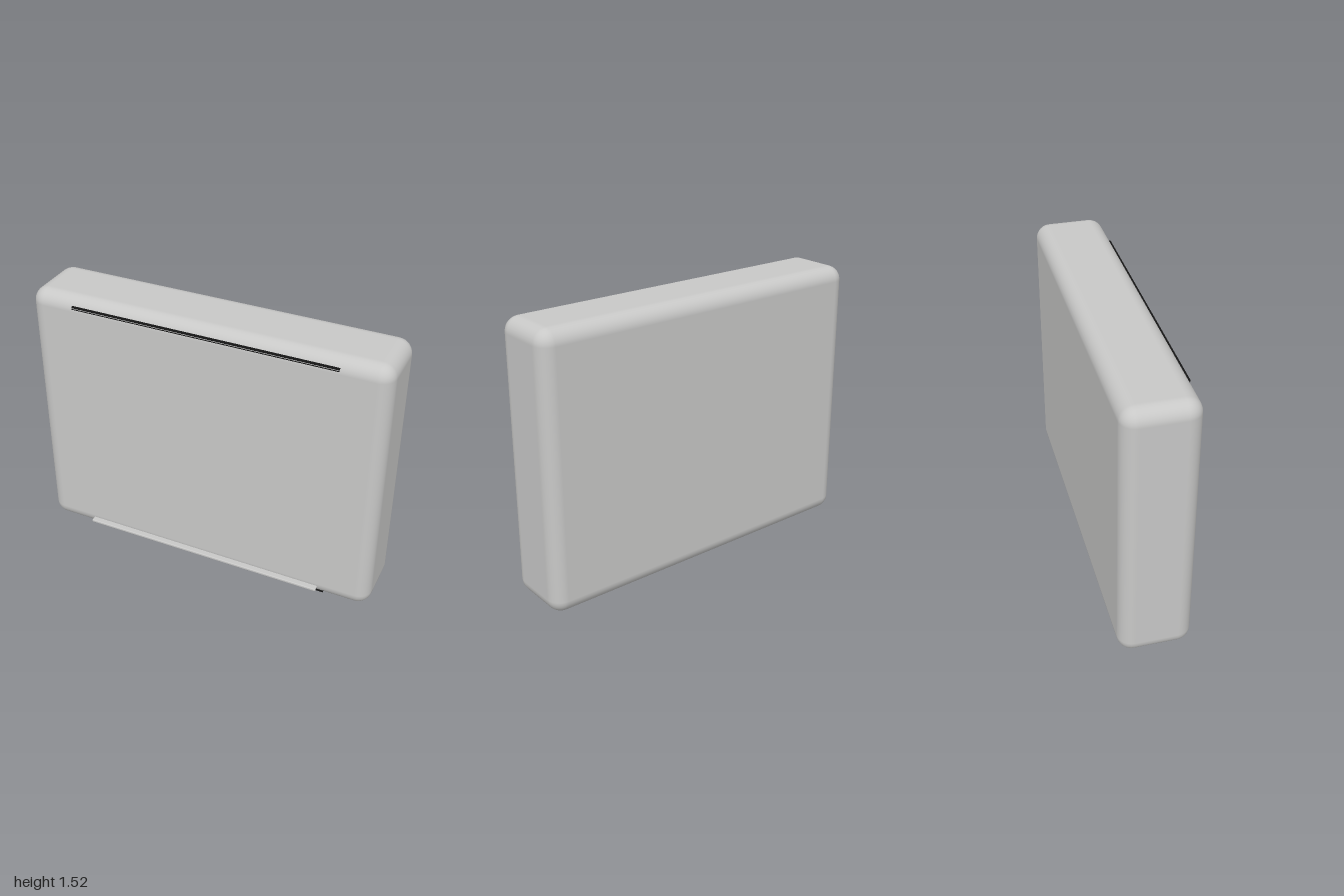
import * as THREE from 'three';
import { RoundedBoxGeometry } from 'three/addons/geometries/RoundedBoxGeometry.js';

export function createModel() {
  const model = new THREE.Group();
  model.name = 'roundedPanelCase';

  const shell = new THREE.MeshStandardMaterial({ color: 0xc8c8c7 });
  shell.name = 'light grey shell';
  const slot = new THREE.MeshStandardMaterial({ color: 0x161616 });
  slot.name = 'black slot';

  const add = (name, geometry, material, x, y, z) => {
    const mesh = new THREE.Mesh(geometry, material);
    mesh.name = name;
    mesh.position.set(x, y, z);
    model.add(mesh);
    return mesh;
  };

  // Soft-edged case
  add('case', new RoundedBoxGeometry(2, 1.522, 0.39, 4, 0.08), shell, 0, 0.764, -0.015);

  // Thin lip along the lower front edge
  add('frontLip', new RoundedBoxGeometry(1.42, 0.016, 0.04, 2, 0.005), shell, 0, 0.06, 0.19);

  // Narrow dark vents set into the upper and lower front roundings
  add('upperVent', new THREE.BoxGeometry(1.475, 0.009, 0.03), slot, 0, 1.475, 0.167);
  add('upperVentSeam', new THREE.BoxGeometry(1.475, 0.003, 0.01), slot, 0, 1.463, 0.177);
  add('lowerVent', new THREE.BoxGeometry(1.475, 0.012, 0.014), slot, 0, 0.014, 0.145);

  return model;
}
